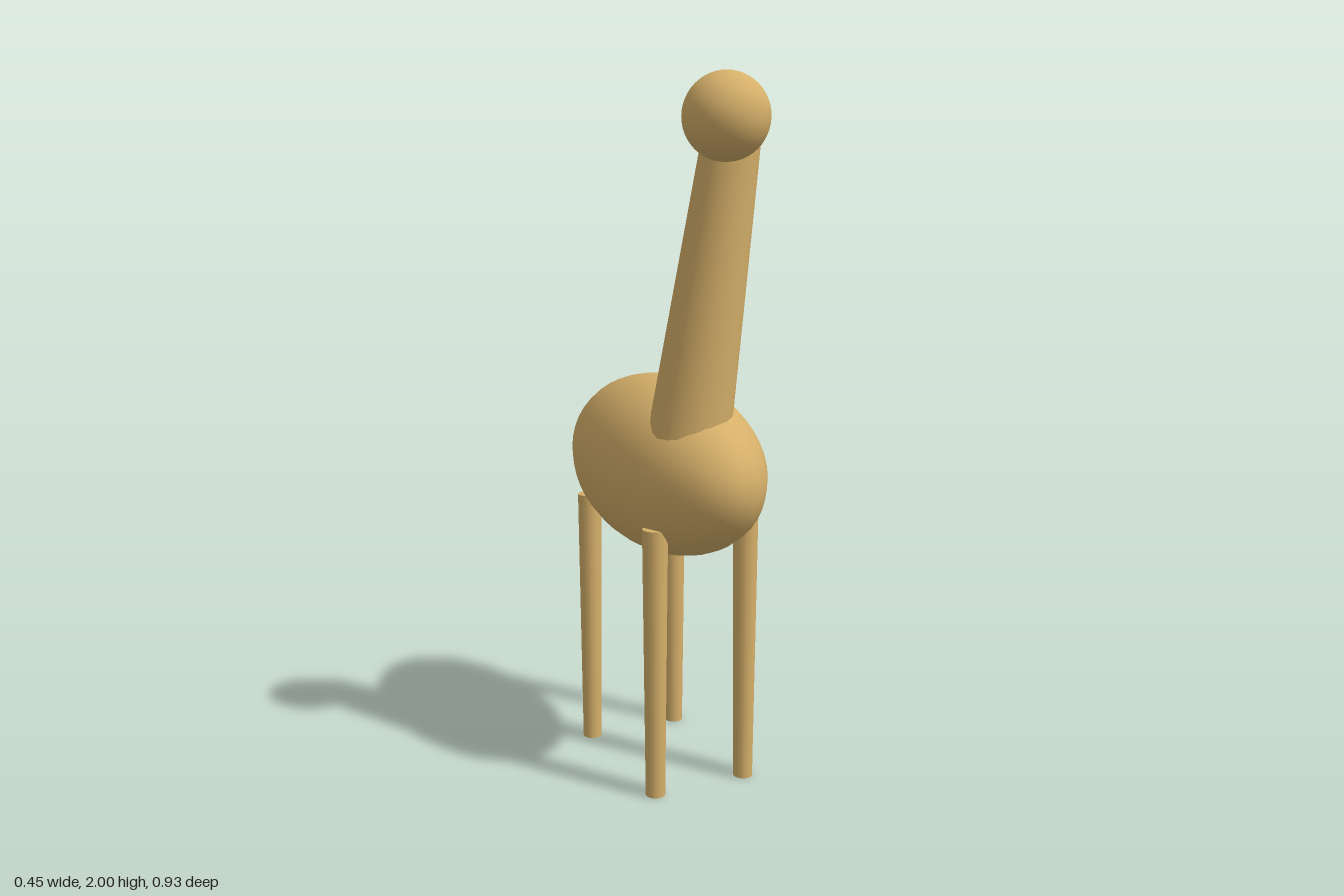
import * as THREE from 'three';

export function createModel() {
  const group = new THREE.Group();
  const tan = new THREE.MeshStandardMaterial({ color: 0xd6b06a });
  tan.name = 'tan';

  const add = (name, geometry, x, y, z) => {
    const mesh = new THREE.Mesh(geometry, tan);
    mesh.name = name;
    mesh.position.set(x, y, z);
    group.add(mesh);
    return mesh;
  };

  // Egg-shaped body, long from front to back
  const body = new THREE.SphereGeometry(1, 24, 24).scale(0.225, 0.257, 0.455);
  add('body', body, 0, 0.913, -0.008);

  // Tapered neck leaning forward and a little to the left
  const base = new THREE.Vector3(-0.04, 1.0, 0.214);
  const tip = new THREE.Vector3(0.045, 1.848, 0.299);
  const axis = tip.clone().sub(base);
  const mid = base.clone().add(tip).multiplyScalar(0.5);
  const neck = add('neck', new THREE.CylinderGeometry(0.077, 0.116, axis.length(), 24), mid.x, mid.y, mid.z);
  neck.quaternion.setFromUnitVectors(new THREE.Vector3(0, 1, 0), axis.normalize());

  // Round head
  add('head', new THREE.SphereGeometry(0.115, 24, 24), 0, 1.885, 0.347);

  // Four slightly tapered legs
  const leg = new THREE.CylinderGeometry(0.036, 0.028, 0.784, 16);
  for (const [end, z] of [['front', 0.222], ['back', -0.234]]) {
    for (const [side, x] of [['Left', 0.143], ['Right', -0.143]]) {
      add(`${end}${side}Leg`, leg, x, 0.392, z);
    }
  }

  return group;
}
